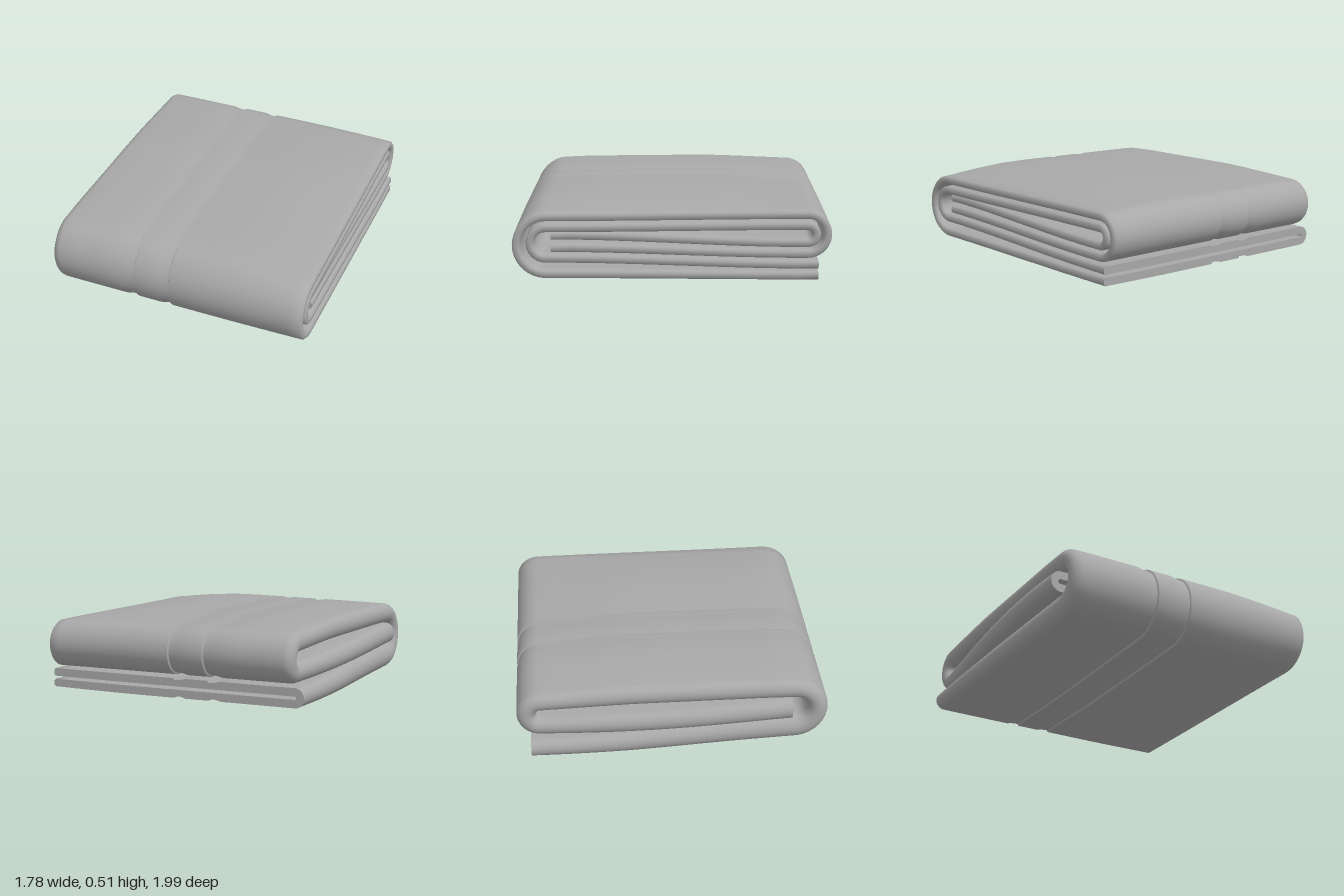
import * as THREE from 'three';
import { toCreasedNormals } from 'three/addons/utils/BufferGeometryUtils.js';

const CLOTH = 0.05; // thickness of one layer
const smooth = (t) => t * t * (3 - 2 * t);
const mix = (a, b, t) => a + (b - a) * t;

// Linear lookup in a list of [position, value]
function lookup(table, p) {
  for (let i = 1; i < table.length; i++) {
    const [p0, v0] = table[i - 1], [p1, v1] = table[i];
    if (p <= p1) return mix(v0, v1, Math.max(0, (p - p0) / (p1 - p0)));
  }
  return table[table.length - 1][1];
}

// Swelling of the stack across its width and depth
const BULGE_X = [[-0.9, 0.035], [-0.6, 0.045], [-0.1, 0.055], [0.3, 0.065], [0.5, 0.055], [0.74, 0.022], [0.86, 0]];
const BULGE_Z = [[-1, 0.15], [-0.8, 0.3], [-0.3, 0.95], [0, 1], [0.6, 1], [0.8, 0.75], [1, 0.3]];

// Woven bands: shallow grooves with one sharp edge, as [x, depth]
const GROOVES = [[0, 0], [-0.006, 0.012], [-0.05, 0.009], [-0.085, 0],
  [-0.24, 0], [-0.246, 0.012], [-0.29, 0.009], [-0.33, 0]];

// Path of the doubled cloth: z, y, half thickness, left and right edges
function clothPath() {
  const path = [];
  const straight = (z0, z1, y0, y1, h0, h1, l0, l1, r0, r1, bow, skipEnds) => {
    const n = 14;
    for (let i = 0; i <= n; i++) {
      if (skipEnds && (i === 0 || i === n)) continue;
      const t = i / n, s = smooth(t);
      path.push({ z: mix(z0, z1, t), y: mix(y0, y1, s), h: mix(h0, h1, s),
        l: mix(l0, l1, s) - bow * Math.sin(Math.PI * t), r: mix(r0, r1, t) });
    }
  };
  const bend = (cz, cy, rad, a0, h0, h1, l, r) => {
    const n = 18;
    for (let i = 0; i <= n; i++) {
      const a = a0 + Math.PI * i / n;
      path.push({ z: cz + rad * Math.cos(a), y: cy + rad * Math.sin(a), h: mix(h0, h1, smooth(i / n)), l, r });
    }
  };
  straight(-0.915, 0.76, 0.08, 0.105, 0.06, 0.075, -0.885, -0.835, 0.885, 0.89, 0.01, false);
  bend(0.783, 0.245, 0.14, -Math.PI / 2, 0.075, 0.06, -0.835, 0.89);
  straight(0.783, -0.847, 0.385, 0.395, 0.06, 0.06, -0.835, -0.84, 0.89, 0.868, 0, true);
  bend(-0.847, 0.305, 0.09, Math.PI / 2, 0.06, 0.06, -0.84, 0.868);
  straight(-0.83, 0.75, 0.215, 0.26, 0.06, 0.065, -0.84, -0.868, 0.868, 0.875, 0.035, false);
  return path;
}

// Folded-double profile: matching outer and inner points [x, offset]
function clothProfile({ h, l, r }) {
  const outer = [[r, h - 0.012], [r - 0.012, h]];
  const inner = [[r, h - CLOTH + 0.012], [r - 0.012, h - CLOTH]];
  const flat = [[0.8, 0], [0.74, 0], [0.6, 0], [0.4, 0], [0.2, 0], ...GROOVES, [-0.5, 0], [-0.66, 0]];
  for (const [x, depth] of flat) {
    outer.push([x, h - depth]);
    inner.push([x, h - CLOTH]);
  }
  const half = outer.length, arc = 12;
  for (let i = 0; i <= arc; i++) {
    const a = Math.PI / 2 + Math.PI * i / arc;
    outer.push([l + h + h * Math.cos(a), h * Math.sin(a)]);
    inner.push([l + h + (h - CLOTH) * Math.cos(a), (h - CLOTH) * Math.sin(a)]);
  }
  for (let i = half - 1; i >= 0; i--) {
    outer.push([outer[i][0], -outer[i][1]]);
    inner.push([inner[i][0], -inner[i][1]]);
  }
  return { outer, inner };
}

function foldedCloth() {
  const path = clothPath(), pos = [], index = [];
  let n = 0;
  path.forEach((p, k) => {
    const a = path[Math.max(0, k - 1)], b = path[Math.min(path.length - 1, k + 1)];
    const len = Math.hypot(b.z - a.z, b.y - a.y);
    const nz = (b.y - a.y) / len, ny = -(b.z - a.z) / len;
    const { outer, inner } = clothProfile(p);
    n = outer.length;
    for (const [x, t] of [...outer, ...inner.reverse()]) {
      const z = p.z + nz * t, y = p.y + ny * t;
      pos.push(x, y + lookup(BULGE_X, x) * lookup(BULGE_Z, z) * (y - 0.15) / 0.31, z);
    }
  });
  const m = 2 * n;
  // Skin between neighbouring sections
  for (let k = 0; k < path.length - 1; k++) {
    for (let i = 0; i < m; i++) {
      const j = (i + 1) % m;
      const a = k * m + i, b = k * m + j, c = b + m, d = a + m;
      index.push(a, d, c, a, c, b);
    }
  }
  // Cut ends of the cloth
  const last = (path.length - 1) * m;
  for (let i = 0; i < n - 1; i++) {
    const a = i, b = i + 1, c = m - 2 - i, d = m - 1 - i;
    index.push(a, b, c, a, c, d);
    index.push(last + a, last + c, last + b, last + a, last + d, last + c);
  }
  const geo = new THREE.BufferGeometry();
  geo.setAttribute('position', new THREE.Float32BufferAttribute(pos, 3));
  geo.setIndex(index);
  geo.computeBoundingBox();
  geo.translate(0, -geo.boundingBox.min.y, 0);
  return toCreasedNormals(geo, 0.9);
}

export function createModel() {
  const group = new THREE.Group();
  group.name = 'foldedTowel';
  const cloth = new THREE.MeshStandardMaterial({ color: 0xa8a8a8, side: THREE.DoubleSide });
  cloth.name = 'grey cloth';
  const towel = new THREE.Mesh(foldedCloth(), cloth);
  towel.name = 'towelCloth';
  group.add(towel);
  return group;
}
